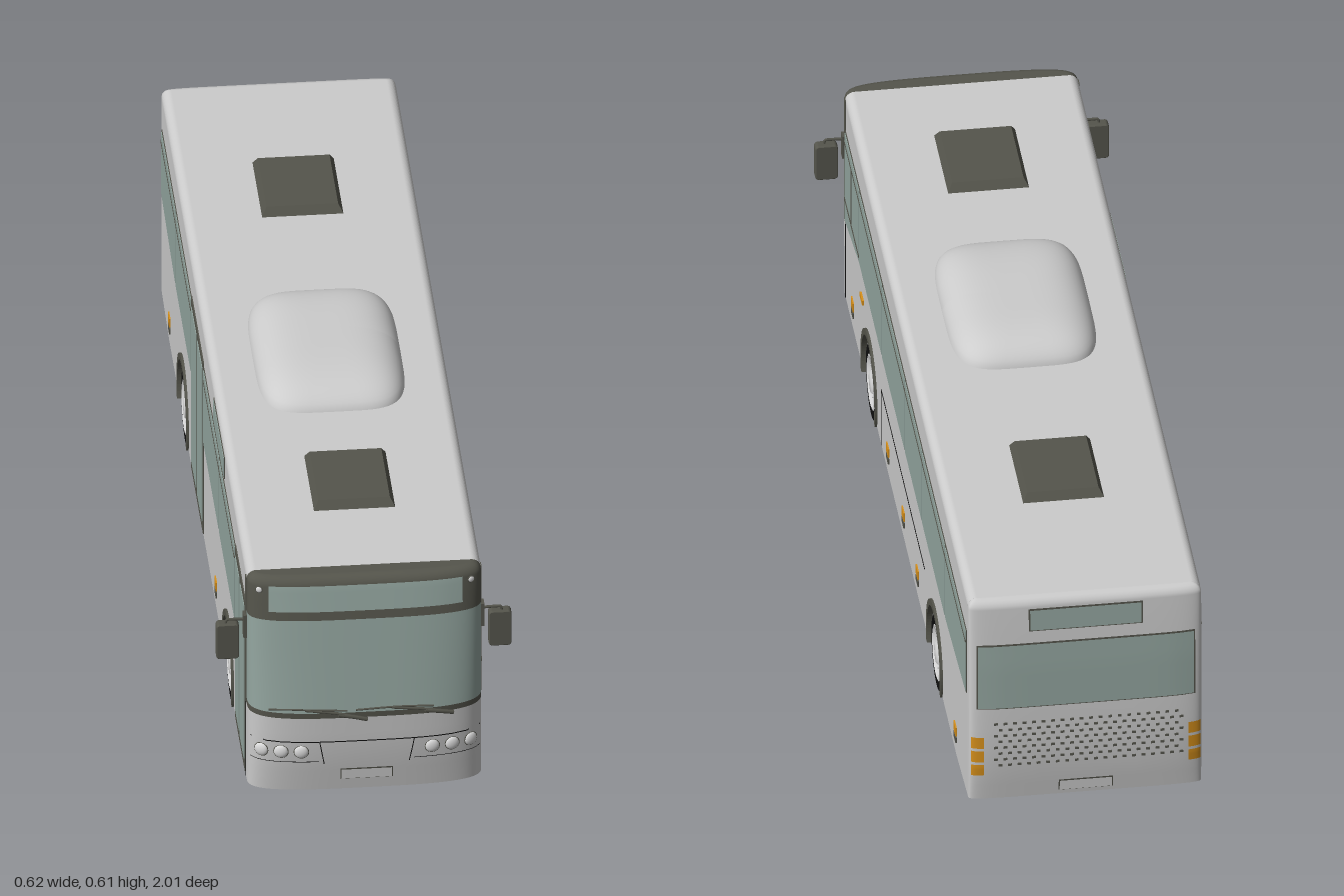
import * as THREE from 'three';
import { mergeGeometries } from 'three/addons/utils/BufferGeometryUtils.js';

const mat = (name, color) => new THREE.MeshStandardMaterial({ name, color, side: THREE.DoubleSide });

export function createModel() {
  const bus = new THREE.Group();
  bus.name = 'cityBus';
  const body = mat('bodyGrey', 0xcccccc), trim = mat('darkTrim', 0x55554c), glass = mat('tintedGlass', 0x93a59f);
  const black = mat('tyreBlack', 0x101010), amber = mat('amber', 0xd9921c), lamp = mat('lampSilver', 0xdadada);
  const under = mat('undersideGrey', 0x8c8c8c);
  const W = 0.245, TOP = 0.56, R = 0.02, WHEELS = [0.53, -0.475];
  const BASE = { 1: 0.915, '-1': 0.965 }, POW = { 1: 3.2, '-1': 6 };
  const NOSE = [[0.05, 0.975], [0.15, 0.992], [0.25, 0.998], [0.465, 0.976], [0.56, 0.962]];
  const TAIL = [[0.06, 0.985], [0.15, 0.997], [0.25, 1.0], [0.4, 0.996], [0.56, 0.987]];

  const add = (name, geo, m, parent = bus) => {
    const mesh = new THREE.Mesh(geo, m);
    mesh.name = name;
    parent.add(mesh);
    return mesh;
  };
  const box = (name, m, x0, x1, y0, y1, z0, z1) =>
    add(name, new THREE.BoxGeometry(x1 - x0, y1 - y0, z1 - z0).translate((x0 + x1) / 2, (y0 + y1) / 2, (z0 + z1) / 2), m);

  // Grid surface from f(u, v) -> [x, y, z], u and v in 0..1
  const grid = (nu, nv, f) => {
    const pos = [], idx = [];
    for (let j = 0; j <= nv; j++) for (let i = 0; i <= nu; i++) pos.push(...f(i / nu, j / nv));
    for (let j = 0; j < nv; j++) for (let i = 0; i < nu; i++) {
      const a = j * (nu + 1) + i, b = a + nu + 1;
      idx.push(a, a + 1, b + 1, a, b + 1, b);
    }
    const g = new THREE.BufferGeometry();
    g.setAttribute('position', new THREE.Float32BufferAttribute(pos, 3));
    g.setIndex(idx);
    g.computeVertexNormals();
    return g;
  };

  // Bowed end surfaces: s = 1 for the nose, -1 for the tail
  const inset = y => { const k = Math.max(0, (y - TOP + R) / R); return R * (1 - Math.sqrt(Math.max(0, 1 - k * k))); };
  const reach = (s, y) => {
    const t = s > 0 ? NOSE : TAIL;
    let i = 0;
    while (i < t.length - 2 && y > t[i + 1][0]) i++;
    const [[y0, z0], [y1, z1]] = [t[i], t[i + 1]];
    return z0 + (z1 - z0) * (y - y0) / (y1 - y0) - inset(y);
  };
  const endPoint = (s, u, y) => {
    const th = (u - 0.5) * Math.PI, p = 2 / POW[s], sn = Math.sin(th);
    const x = (W - inset(y)) * Math.sign(sn) * Math.abs(sn) ** p;
    return [x, y, s * (BASE[s] + (reach(s, y) - BASE[s]) * Math.max(0, Math.cos(th)) ** p)];
  };
  const endZ = (s, x, y) => {
    const t = Math.min(1, Math.abs(x) / (W - inset(y)));
    return s * (BASE[s] + (reach(s, y) - BASE[s]) * (1 - t ** POW[s]) ** (1 / POW[s]));
  };
  const endBand = (name, m, s, ys) => add(name, grid(48, ys.length - 1, (u, v) => endPoint(s, u, ys[Math.round(v * (ys.length - 1))])), m);
  const endCap = (name, m, s, y) => add(name, grid(48, 1, (u, v) => {
    const p = endPoint(s, u, y);
    return v ? [p[0], y, s * BASE[s]] : p;
  }), m);
  // Thin plate lying on an end; lean shifts the top sideways
  const patchGeo = (s, x0, x1, y0, y1, off = 0.004, lean = 0) => grid(16, 8, (u, v) => {
    const x = x0 + (x1 - x0) * u + lean * v, y = y0 + (y1 - y0) * v;
    return [x, y, endZ(s, x, y) + s * off];
  });
  const patch = (name, m, ...a) => add(name, patchGeo(...a), m);

  // Main shell, rounded along the roof edges
  const sec = new THREE.Shape();
  sec.moveTo(-W, 0.21).lineTo(W, 0.21).lineTo(W, TOP - R);
  sec.absarc(W - R, TOP - R, R, 0, Math.PI / 2).absarc(R - W, TOP - R, R, Math.PI / 2, Math.PI);
  add('upperShell', new THREE.ExtrudeGeometry(sec, { depth: BASE[1] + BASE[-1], bevelEnabled: false, curveSegments: 8 }).translate(0, 0, -BASE[-1]), body);

  // Nose and tail
  const crown = [0.54, 0.547, 0.553, 0.557, 0.5595, 0.56];
  endBand('frontBumper', body, 1, [0.05, 0.1, 0.15, 0.2, 0.237]);
  endBand('windscreenSill', trim, 1, [0.237, 0.25]);
  endBand('windscreen', glass, 1, [0.25, 0.3, 0.35, 0.4, 0.465]);
  endBand('frontHeader', trim, 1, [0.465, 0.5, ...crown]);
  endCap('frontHeaderTop', trim, 1, TOP);
  endCap('frontBumperBase', under, 1, 0.05);
  endBand('rearPanel', body, -1, [0.065, 0.1, 0.15, 0.2, 0.25, 0.32, 0.4, 0.47, ...crown]);
  endCap('rearPanelTop', body, -1, TOP);
  endCap('rearPanelBase', under, -1, 0.065);

  // Shapes in the (z, y) plane, extruded inward from x = side * off
  const sideShape = (name, m, side, shape, off, depth = 0.004) =>
    add(name, new THREE.ExtrudeGeometry(shape, { depth, bevelEnabled: false, curveSegments: 24 })
      .rotateY(-Math.PI / 2).translate(side > 0 ? off : depth - off, 0, 0), m);
  const poly = pts => new THREE.Shape(pts.map(p => new THREE.Vector2(...p)));
  const plate = (name, m, side, z0, z1, y0, y1, off = 0.247) =>
    sideShape(name, m, side, poly([[z0, y0], [z1, y0], [z1, y1], [z0, y1]]), off);
  const sill = z => z > 0.68 ? 0.288 - (z - 0.68) * 0.2 : z < -0.635 ? 0.288 - (z + 0.635) * 0.085 : 0.288;
  const pane = (name, m, side, z0, z1, off, pad = 0, top = 0.472) =>
    sideShape(name, m, side, poly([[z0 + pad, sill(z0 + pad) + pad], [z1 - pad, sill(z1 - pad) + pad], [z1 - pad, top - pad], [z0 + pad, top - pad]]), off);
  const sideWindow = (s, z0, z1) => {
    pane('windowFrame', trim, s, z0, z1, 0.2465);
    pane('sideGlass', glass, s, z0, z1, 0.248, 0.004);
    plate('ventRail', trim, s, z0, z1, 0.443, 0.447, 0.249);
  };
  const door = (s, z0, z1) => {
    plate('doorFrame', trim, s, z0, z1, 0.06, 0.48, 0.2475);
    const mid = (z0 + z1) / 2;
    for (const [a, b] of [[z0, mid], [mid, z1]]) plate('doorGlass', glass, s, a + 0.014, b - 0.01, 0.085, 0.462, 0.249);
  };

  const BOT = 0.05, CUT = 0.38;
  for (const s of [1, -1]) {
    // Lower skirt with wheel cut-outs
    const sk = new THREE.Shape();
    sk.moveTo(BASE[1], 0.21).lineTo(BASE[1], BOT);
    for (const c of WHEELS) sk.absarc(c, 0.09, 0.108, -CUT, Math.PI + CUT, false);
    sk.lineTo(-0.8, BOT).lineTo(-BASE[-1], 0.065).lineTo(-BASE[-1], 0.21);
    sideShape('lowerSkirt', body, s, sk, W, 0.012);

    for (const c of WHEELS) {
      // Arch lip and wheel housing
      const lip = new THREE.Shape();
      lip.absarc(c, 0.09, 0.114, -0.36, Math.PI + 0.36, false).absarc(c, 0.09, 0.1, Math.PI + CUT, -CUT, true);
      sideShape('wheelArchLip', trim, s, lip, 0.25, 0.012);
      add('wheelHousing', grid(24, 1, (u, v) => {
        const t = -CUT + u * (Math.PI + 2 * CUT);
        return [s * (0.15 + v * 0.09), 0.09 + 0.11 * Math.sin(t), c + 0.11 * Math.cos(t)];
      }), trim);
      const inner = new THREE.Shape();
      inner.absarc(c, 0.09, 0.11, -CUT, Math.PI + CUT, false);
      sideShape('wheelHousingWall', trim, s, inner, 0.152);

      // Wheel
      const wheel = new THREE.Group();
      wheel.name = 'wheel';
      wheel.position.set(s * 0.209, 0.09, c);
      wheel.rotation.z = -s * Math.PI / 2;
      const lathe = pts => new THREE.LatheGeometry(pts.map(p => new THREE.Vector2(...p)), 36);
      add('tyre', lathe([[0, -0.034], [0.08, -0.034], [0.09, -0.026], [0.09, 0.026], [0.08, 0.034], [0.06, 0.034], [0.058, 0.02], [0, 0.02]]), black, wheel);
      add('hub', lathe([[0.06, 0.034], [0.054, 0.036], [0.048, 0.026], [0.03, 0.027], [0.022, 0.036], [0, 0.037]]), lamp, wheel);
      for (let k = 0; k < 8; k++) {
        const a = k * Math.PI / 4;
        add('wheelNut', new THREE.CylinderGeometry(0.003, 0.003, 0.008, 6).translate(0.037 * Math.cos(a), 0.028, 0.037 * Math.sin(a)), lamp, wheel);
      }
      bus.add(wheel);
    }

    // Side markers, indicator and panel gaps
    for (const z of s > 0 ? [0.79, 0.25, 0.012, -0.205, -0.785] : [0.25, -0.785]) {
      plate('sideMarker', amber, s, z - 0.015, z + 0.015, 0.1, 0.121, 0.248);
      plate('sideReflector', trim, s, z - 0.015, z + 0.015, 0.083, 0.096, 0.248);
    }
    plate('sideIndicator', amber, s, 0.618, 0.653, 0.224, 0.236, 0.25);
    plate('frontPillar', trim, s, 0.904, 0.92, 0.24, 0.545, 0.2465);
    plate('cornerGap', black, s, 0.904, 0.907, 0.05, 0.235, 0.246);
    if (s > 0) {
      plate('hatchGapTop', black, s, -0.31, 0.355, 0.188, 0.191, 0.246);
      plate('hatchGapFront', black, s, 0.354, 0.357, 0.05, 0.19, 0.246);
    }

    // Mirrors
    box('mirrorBracket', trim, s > 0 ? 0.243 : -0.252, s > 0 ? 0.252 : -0.243, 0.4, 0.455, 0.905, 0.925);
    const arm = new THREE.CatmullRomCurve3([[0.248, 0.442], [0.275, 0.443], [0.287, 0.442], [0.288, 0.425]].map(([x, y]) => new THREE.Vector3(s * x, y, 0.917)));
    add('mirrorArm', new THREE.TubeGeometry(arm, 12, 0.003, 6), trim);
    const mir = new THREE.Shape();
    const [mx, my, r] = [0.016, 0.034, 0.008];
    for (const [k, [a, b]] of [[mx, my], [-mx, my], [-mx, -my], [mx, -my]].entries()) mir.absarc(a, b, r - 0.002, k * Math.PI / 2, (k + 1) * Math.PI / 2, false);
    add('mirror', new THREE.ExtrudeGeometry(mir, { depth: 0.016, bevelSize: 0.002, bevelThickness: 0.004, bevelSegments: 2 })
      .translate(s * 0.285, 0.393, 0.907), trim);

    // Headlamps and roof marker lamps
    for (const [x, y, q] of [[0.137, 0.153, 0.015], [0.179, 0.153, 0.015], [0.219, 0.153, 0.015], [0.222, 0.533, 0.007]]) {
      const z = endZ(1, x, y), turn = Math.atan2(endZ(1, x - 0.005, y) - endZ(1, x + 0.005, y), 0.01) * s;
      const l = add('frontLamp', new THREE.SphereGeometry(q, 20, 12).scale(1, 1, 0.45), lamp);
      const rim = add('frontLampRim', new THREE.TorusGeometry(q, 0.0012, 6, 24), trim);
      for (const o of [l, rim]) { o.position.set(s * x, y, z); o.rotation.y = turn; }
    }
    patch('bumperGapSlant', black, 1, s * 0.088, s * 0.09, 0.12, 0.178, 0.002, s * 0.01);
    patch('lampGap', black, 1, s * 0.1, s * 0.24, 0.126, 0.1275, 0.002);
    for (const y of [0.13, 0.165, 0.2]) patch('tailLamp', amber, -1, s * 0.215, s * 0.241, y, y + 0.028, 0.003);
  }

  // Windows: closed side, then door side
  for (const [a, b] of [[-0.955, -0.635], [-0.635, -0.285], [-0.285, -0.02], [-0.02, 0.33], [0.33, 0.68], [0.68, 0.905]]) sideWindow(1, a, b);
  plate('driverWindowRail', trim, 1, 0.68, 0.905, 0.302, 0.308, 0.249);
  plate('driverWindowPost', trim, 1, 0.797, 0.803, 0.305, 0.445, 0.249);
  for (const [a, b] of [[-0.955, -0.635], [-0.635, -0.29], [-0.02, 0.33], [0.33, 0.68]]) sideWindow(-1, a, b);
  door(-1, -0.29, -0.025);
  door(-1, 0.685, 0.905);
  plate('sideSignFrame', trim, -1, 0.2, 0.435, 0.484, 0.537, 0.2465);
  plate('sideSign', glass, -1, 0.204, 0.431, 0.488, 0.533, 0.248);

  // Front details
  patch('destinationSign', glass, 1, -0.203, 0.203, 0.486, 0.544, 0.003);
  patch('bumperGap', black, 1, -0.24, 0.24, 0.177, 0.1795, 0.002);
  patch('frontPlateFrame', trim, 1, -0.055, 0.055, 0.078, 0.106, 0.002);
  patch('frontPlate', lamp, 1, -0.053, 0.053, 0.08, 0.104, 0.004);
  const wiper = (name, pts, r) => add(name, new THREE.TubeGeometry(new THREE.CatmullRomCurve3(
    pts.map(([x, y]) => new THREE.Vector3(x, y, endZ(1, x, y) + 0.006))), 16, r, 6), trim);
  for (const dx of [0, 0.181]) {
    wiper('wiperBlade', [[-0.205 + dx, 0.259], [-0.12 + dx, 0.262], [-0.042 + dx, 0.258]], 0.002);
    wiper('wiperArm', [[-0.13 + dx, 0.261], [-0.06 + dx, 0.252], [dx, 0.235]], 0.003);
    wiper('wiperPivot', [[-0.06 + dx, 0.249], [-0.03 + dx, 0.243], [dx, 0.235]], 0.0045);
  }

  // Rear details
  patch('rearWindowFrame', trim, -1, -0.23, 0.23, 0.298, 0.456, 0.002);
  patch('rearWindow', glass, -1, -0.227, 0.227, 0.301, 0.453, 0.004);
  patch('rearSignFrame', trim, -1, -0.12, 0.12, 0.484, 0.538, 0.002);
  patch('rearSign', glass, -1, -0.117, 0.117, 0.487, 0.535, 0.004);
  patch('rearPlateFrame', trim, -1, -0.057, 0.057, 0.076, 0.104, 0.002);
  patch('rearPlate', lamp, -1, -0.055, 0.055, 0.078, 0.102, 0.004);
  const slots = [];
  for (let j = 0; j < 8; j++) for (let i = 0; i < 20; i++) {
    const x = -0.2 + i * 0.02 + (j % 2) * 0.01, y = 0.155 + j * 0.015;
    slots.push(new THREE.BoxGeometry(0.008, 0.005, 0.004).translate(x, y, endZ(-1, x, y)));
  }
  add('engineGrille', mergeGeometries(slots), trim);

  // Roof pod
  add('roofPod', grid(64, 16, (u, v) => {
    const t = u * Math.PI * 2, pw = x => Math.sign(x) * Math.abs(x) ** 0.45, r = 1 - (1 - v) ** 1.6;
    return [0.155 * r * pw(Math.cos(t)), 0.558 + 0.055 * (1 - r ** 4) ** 0.6, 0.088 + 0.228 * r * pw(Math.sin(t)) - 0.03 * (1 - r)];
  }), body);

  // Roof hatches
  for (const z of [0.608, -0.543]) {
    box('hatchBase', trim, -0.055, 0.055, 0.555, 0.574, z - 0.08, z + 0.08);
    const lid = new THREE.CylinderGeometry(0.075 * Math.SQRT2, 0.085 * Math.SQRT2, 0.018, 4).rotateY(Math.PI / 4).scale(1, 1, 1.27).toNonIndexed();
    lid.computeVertexNormals();
    add('hatchLid', lid.translate(0, 0.581, z), trim);
  }

  // Floor, notched around the wheel housings
  box('floor', under, -0.15, 0.15, 0.075, 0.09, -0.968, 0.918);
  for (const [a, b] of [[-0.968, -0.585], [-0.365, 0.42], [0.64, 0.918]])
    for (const x of [-0.235, 0.15]) box('floorSide', under, x, x + 0.085, 0.075, 0.09, a, b);
  for (const z of WHEELS) box('axle', under, -0.18, 0.18, 0.08, 0.1, z - 0.012, z + 0.012);
  return bus;
}
